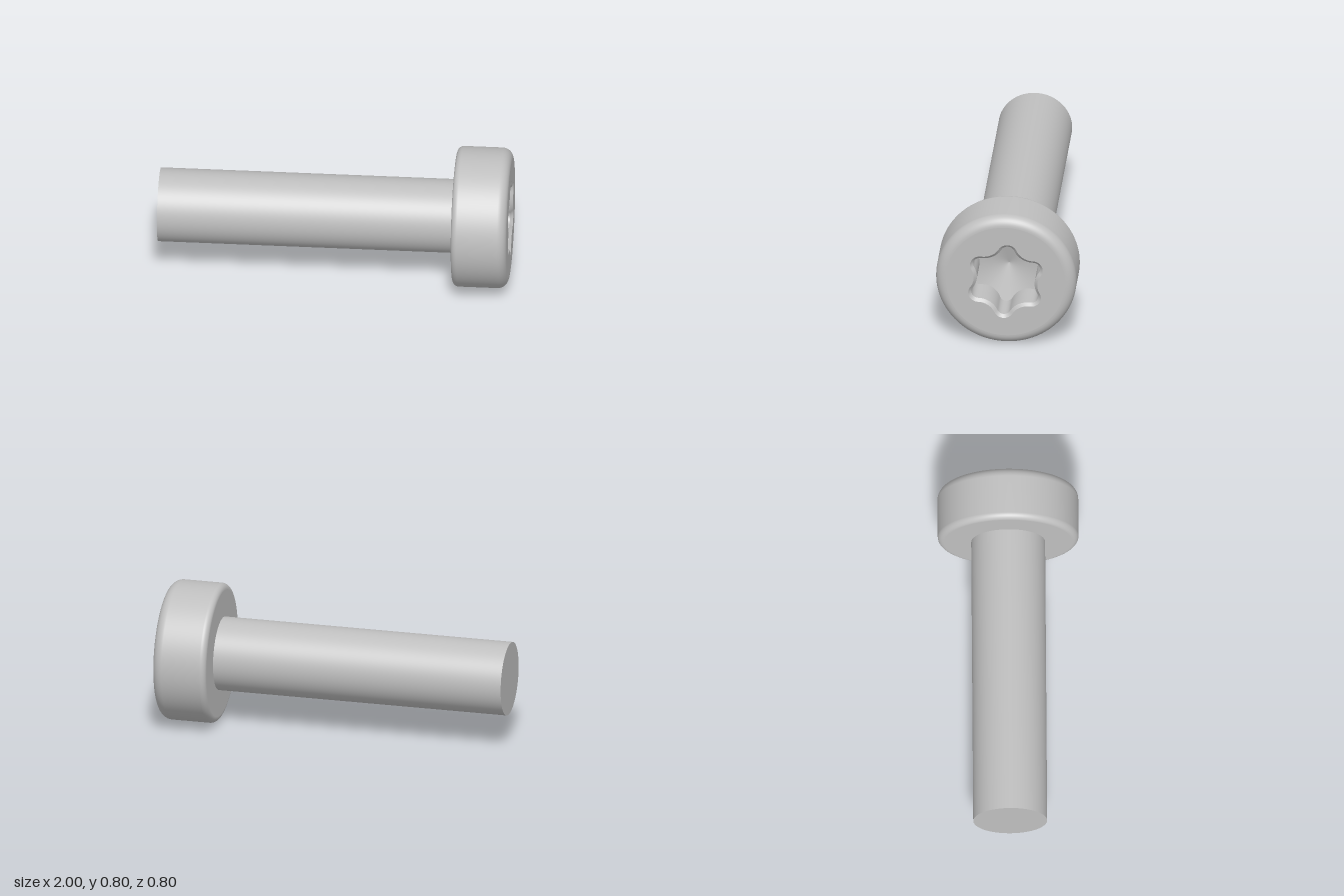
import * as THREE from 'three';

const HEAD_BACK = 0.685, HEAD_R = 0.4, SHANK_R = 0.21, FRONT_FILLET = 0.06, BACK_FILLET = 0.035;

// Six-lobed outline made of tangent tip and valley arcs, grown outward by "offset"
function lobedOutline(offset) {
  const tipR = 0.04, tipDist = 0.214 - tipR, inner = 0.165, c = Math.cos(Math.PI / 6);
  const valleyR = (tipDist ** 2 + inner ** 2 - 2 * tipDist * inner * c - tipR ** 2)
    / (2 * tipR - 2 * inner + 2 * tipDist * c);
  const valleyDist = inner + valleyR;
  const beta = Math.atan2(valleyDist * 0.5, valleyDist * c - tipDist);
  const pts = [];
  const steps = 12;
  const add = (axis, dist, normal, r) => pts.push(new THREE.Vector2(
    Math.cos(axis) * dist + Math.cos(normal) * (r + offset),
    Math.sin(axis) * dist + Math.sin(normal) * (r + offset)));
  for (let k = 0; k < 6; k++) {
    const tip = THREE.MathUtils.degToRad(86.5 + 60 * k), valley = tip + Math.PI / 6;
    for (let i = 0; i < steps; i++) add(tip, tipDist, tip + beta * (2 * i / steps - 1), tipR);
    const b = beta - Math.PI / 6;
    for (let i = 0; i < steps; i++) add(valley, valleyDist, valley + b * (1 - 2 * i / steps), -valleyR);
  }
  return pts;
}

// Inward-facing band between a front loop and a back loop
function band(front, back) {
  const n = front.length, index = [];
  for (let i = 0; i < n; i++) {
    const j = (i + 1) % n;
    index.push(n + i, j, n + j, n + i, i, j);
  }
  const g = new THREE.BufferGeometry().setFromPoints([...front, ...back]);
  g.setIndex(index);
  g.computeVertexNormals();
  return g;
}

// Fan from a centre point to a loop, facing the front
function fan(loop, centre) {
  const n = loop.length, pts = [];
  for (let i = 0; i < n; i++) pts.push(centre, loop[i], loop[(i + 1) % n]);
  const g = new THREE.BufferGeometry().setFromPoints(pts);
  g.computeVertexNormals();
  return g;
}

export function createModel() {
  const steel = new THREE.MeshStandardMaterial({ color: 0xbfbfbf });
  steel.name = 'steel grey';
  const model = new THREE.Group();
  model.name = 'screw';

  // Everything is built along z, then turned so that +z becomes +x
  const body = new THREE.Group();
  body.name = 'screwBody';
  body.rotation.y = Math.PI / 2;
  body.position.y = HEAD_R;
  model.add(body);
  const add = (name, geometry) => {
    const mesh = new THREE.Mesh(geometry, steel);
    mesh.name = name;
    body.add(mesh);
  };

  // Plain shank
  const length = HEAD_BACK + 1;
  add('shank', new THREE.CylinderGeometry(SHANK_R, SHANK_R, length, 96)
    .rotateX(Math.PI / 2).translate(0, 0, HEAD_BACK - length / 2));

  // Head side with rounded edges
  const profile = [];
  const fillet = (r, z, from) => {
    for (let i = 0; i <= 10; i++) {
      const a = from + Math.PI / 2 * i / 10;
      profile.push(new THREE.Vector2(HEAD_R - r + Math.cos(a) * r, z + Math.sin(a) * r));
    }
  };
  fillet(BACK_FILLET, HEAD_BACK + BACK_FILLET, -Math.PI / 2);
  fillet(FRONT_FILLET, 1 - FRONT_FILLET, 0);
  add('headSide', new THREE.LatheGeometry(profile, 128).rotateX(Math.PI / 2));

  // Underside of the head
  add('headUnderside', new THREE.RingGeometry(SHANK_R - 0.005, HEAD_R - BACK_FILLET, 128)
    .rotateY(Math.PI).translate(0, 0, HEAD_BACK));

  // Front face with the socket opening
  const rim = lobedOutline(0.017), wall = lobedOutline(0);
  const face = new THREE.Shape().absarc(0, 0, HEAD_R - FRONT_FILLET, 0, Math.PI * 2, false);
  face.holes.push(new THREE.Path(rim));
  add('headFace', new THREE.ShapeGeometry(face, 64).translate(0, 0, 1));

  // Socket: chamfer, straight wall and conical floor
  const apex = 0.75, slope = 0.3;
  const at = (pts, z) => pts.map(p => new THREE.Vector3(p.x, p.y, z));
  const floorLoop = wall.map(p => new THREE.Vector3(p.x, p.y, apex + slope * p.length()));
  add('socketChamfer', band(at(rim, 1), at(wall, 0.983)));
  add('socketWall', band(at(wall, 0.983), floorLoop));
  add('socketFloor', fan(floorLoop, new THREE.Vector3(0, 0, apex)));

  return model;
}
